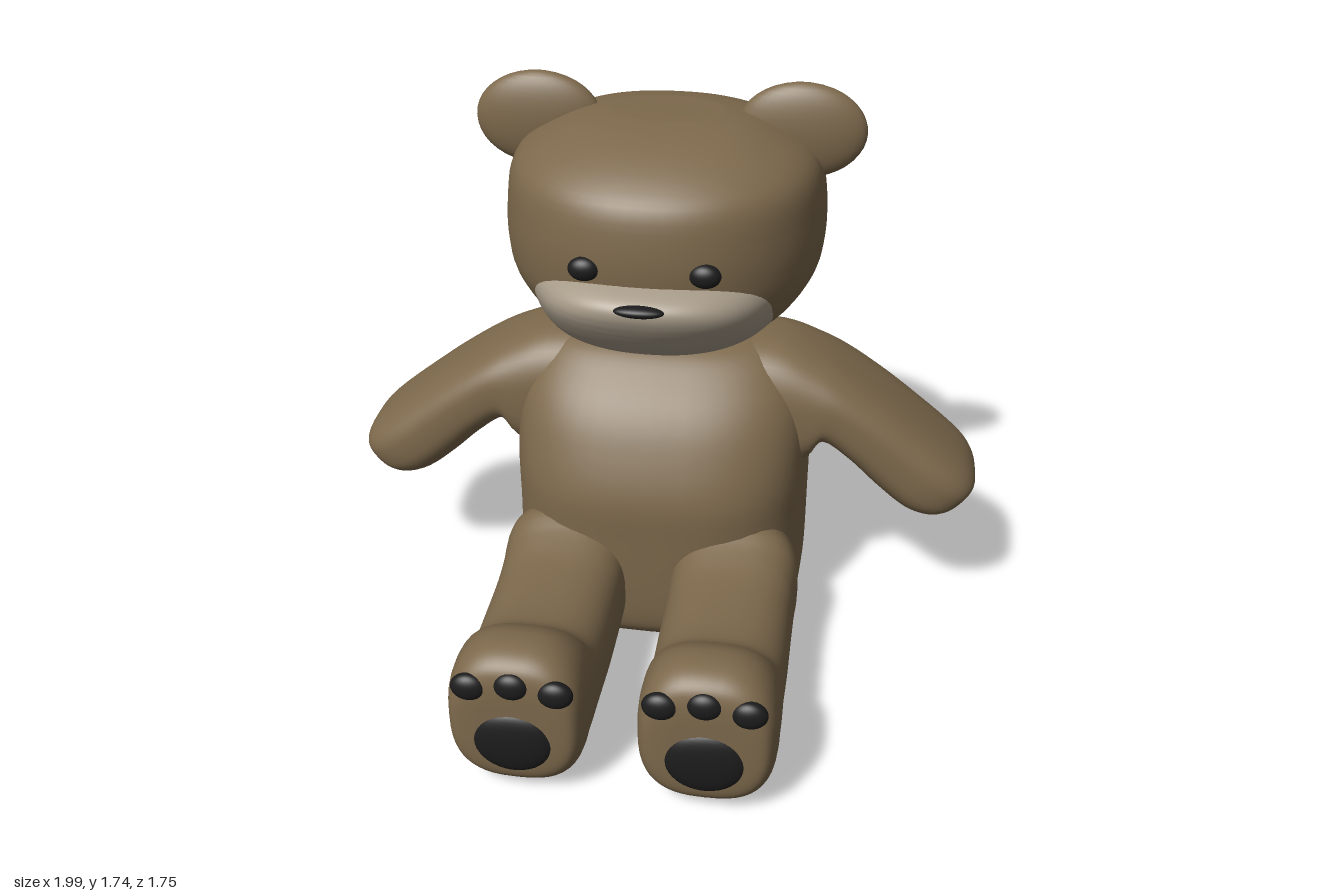
import * as THREE from 'three';

const fur = new THREE.MeshStandardMaterial({ color: 0x7d694c });
const cream = new THREE.MeshStandardMaterial({ color: 0xa79b89, side: THREE.DoubleSide });
const black = new THREE.MeshStandardMaterial({ color: 0x1c1c1c });

// Smoothly subdivide rows of numbers (Catmull-Rom)
function refine(rows, steps = 4) {
  const out = [];
  const at = (i) => rows[Math.min(rows.length - 1, Math.max(0, i))];
  for (let i = 0; i < rows.length - 1; i++) {
    for (let s = 0; s < steps; s++) {
      const t = s / steps;
      out.push(rows[i].map((b, k) => {
        const a = at(i - 1)[k], c = at(i + 1)[k], d = at(i + 2)[k];
        return b + 0.5 * t * (c - a + t * (2 * a - 5 * b + 4 * c - d + t * (3 * (b - c) + d - a)));
      }));
    }
  }
  out.push(at(rows.length - 1));
  return out;
}

const spow = (v, p) => Math.sign(v) * Math.abs(v) ** p;

function build(pos, idx) {
  const g = new THREE.BufferGeometry();
  g.setAttribute('position', new THREE.Float32BufferAttribute(pos, 3));
  g.setIndex(idx);
  g.computeVertexNormals();
  return g;
}

// Closed skin over superellipse sections; frame(row) gives centre c and half axes u, v
function loft(rows, frame, n, segs = 48) {
  const pos = [], idx = [];
  const frames = rows.map(frame);
  for (const { c, u, v } of frames) {
    for (let j = 0; j < segs; j++) {
      const a = (j / segs) * Math.PI * 2;
      const p = spow(Math.cos(a), 2 / n), q = spow(Math.sin(a), 2 / n);
      for (let k = 0; k < 3; k++) pos.push(c[k] + u[k] * p + v[k] * q);
    }
  }
  const last = rows.length - 1, first = pos.length / 3;
  pos.push(...frames[0].c, ...frames[last].c);
  for (let j = 0; j < segs; j++) {
    const k = (j + 1) % segs;
    for (let i = 0; i < last; i++) {
      const a = i * segs + j, b = i * segs + k;
      idx.push(a, b, b + segs, a, b + segs, a + segs);
    }
    idx.push(first, k, j, first + 1, last * segs + j, last * segs + k);
  }
  return build(pos, idx);
}

// Upright section row: [y, z centre, half depth, half width]
const upright = ([y, z, d, w]) => ({ c: [0, y, z], u: [0, 0, d], v: [w, 0, 0] });

const HEAD_N = 2.2;
const headRows = refine([
  [0.953, -0.32, 0.10, 0.09], [0.97, -0.30, 0.20, 0.17], [1.0, -0.30, 0.29, 0.27],
  [1.05, -0.29, 0.36, 0.345], [1.1, -0.285, 0.415, 0.40], [1.2, -0.285, 0.475, 0.458],
  [1.3, -0.285, 0.495, 0.475], [1.4, -0.28, 0.49, 0.472], [1.5, -0.26, 0.45, 0.455],
  [1.56, -0.25, 0.385, 0.415], [1.61, -0.25, 0.30, 0.335], [1.645, -0.25, 0.20, 0.25],
  [1.66, -0.25, 0.11, 0.16],
]);

// Front surface of the head at (x, y)
function headZ(x, y) {
  const i = Math.max(1, headRows.findIndex((r) => r[0] >= y));
  const a = headRows[i - 1], b = headRows[i];
  const t = (y - a[0]) / (b[0] - a[0]);
  const [, z, d, w] = a.map((v, k) => v + (b[k] - v) * t);
  return z + d * Math.max(0, 1 - Math.abs(x / w) ** HEAD_N) ** (1 / HEAD_N);
}

// Rounded patch that swells out of the lower face
function muzzleGeometry(rings = 24, segs = 64) {
  const pos = [], idx = [];
  for (let i = 0; i <= rings; i++) {
    const r = Math.sin((i / rings) * Math.PI / 2);
    for (let j = 0; j < segs; j++) {
      const a = (j / segs) * Math.PI * 2;
      const x = 0.347 * r * spow(Math.cos(a), 2 / 2.9);
      const y = 1.15 + 0.15 * r * spow(Math.sin(a), 2 / 2.9);
      const swell = 0.07 + 0.15 * (y - 1.1);
      pos.push(x, y, headZ(x, y) + swell * (1 - r ** 6) - 0.002);
      if (i < rings) {
        const p = i * segs + j, q = i * segs + (j + 1) % segs;
        if (i > 0) idx.push(p, q + segs, q);
        idx.push(p, p + segs, q + segs);
      }
    }
  }
  return build(pos, idx);
}

export function createModel() {
  const model = new THREE.Group();
  const add = (name, geometry, material) => {
    const m = new THREE.Mesh(geometry, material);
    m.name = name;
    model.add(m);
    return m;
  };
  const ball = (name, material, p, r) => {
    const m = add(name, new THREE.SphereGeometry(1, 32, 20), material);
    m.position.set(...p);
    m.scale.set(...r);
    return m;
  };

  // Torso
  add('torso', loft(refine([
    [0.005, -0.20, 0.20, 0.30], [0.015, -0.22, 0.30, 0.40], [0.05, -0.24, 0.36, 0.44],
    [0.1, -0.25, 0.39, 0.458], [0.2, -0.262, 0.413, 0.465], [0.4, -0.27, 0.428, 0.465],
    [0.55, -0.262, 0.418, 0.465], [0.7, -0.26, 0.36, 0.46], [0.8, -0.265, 0.305, 0.44],
    [0.88, -0.27, 0.235, 0.40], [0.93, -0.275, 0.18, 0.35], [0.955, -0.275, 0.12, 0.28],
  ]), upright, 2.8), fur);

  // Head and face
  add('head', loft(headRows, upright, HEAD_N, 64), fur);
  add('muzzle', muzzleGeometry(), cream);
  ball('nose', black, [0, 1.263, 0.285], [0.07, 0.016, 0.025]);

  // Arm rows: [upper x, upper y, lower x, lower y, half depth]
  const arm = loft(refine([
    [0, 0.957, 0, 0.55, 0.20], [0.2, 0.957, 0.15, 0.5, 0.205], [0.36, 0.953, 0.36, 0.5, 0.21],
    [0.48, 0.91, 0.46, 0.56, 0.21], [0.58, 0.855, 0.5, 0.63, 0.207],
    [0.70, 0.775, 0.585, 0.575, 0.207], [0.80, 0.70, 0.675, 0.49, 0.207],
    [0.90, 0.62, 0.76, 0.42, 0.205], [0.96, 0.565, 0.83, 0.392, 0.19],
    [0.99, 0.52, 0.885, 0.395, 0.16], [0.997, 0.49, 0.925, 0.408, 0.11],
  ]), ([x1, y1, x2, y2, d]) => ({
    c: [(x1 + x2) / 2, (y1 + y2) / 2, -0.285],
    u: [0, 0, d],
    v: [(x2 - x1) / 2, (y2 - y1) / 2, 0],
  }), 2.8);

  // Leg rows: [z, bottom y, top y, half width]
  const leg = loft(refine([
    [-0.1, 0.02, 0.38, 0.17], [0.05, 0.015, 0.45, 0.198], [0.15, 0.015, 0.415, 0.196],
    [0.25, 0.015, 0.385, 0.195], [0.4, 0.017, 0.375, 0.195], [0.52, 0.02, 0.38, 0.193],
    [0.58, 0.02, 0.40, 0.193], [0.63, 0.02, 0.44, 0.195], [0.69, 0.02, 0.472, 0.195],
    [0.75, 0.02, 0.48, 0.195], [0.80, 0.035, 0.47, 0.19], [0.835, 0.065, 0.445, 0.175],
    [0.85, 0.1, 0.41, 0.15], [0.855, 0.16, 0.36, 0.1],
  ]), ([z, y0, y1, w]) => ({
    c: [0, (y0 + y1) / 2, z], u: [w, 0, 0], v: [0, (y1 - y0) / 2, 0],
  }), 2.7);

  // Paired parts
  for (const [side, s] of [['left', 1], ['right', -1]]) {
    add(side + 'Arm', arm, fur).scale.x = s;
    add(side + 'Leg', leg, fur).position.x = s * 0.265;
    ball(side + 'Ear', fur, [s * 0.388, 1.598, -0.29], [0.19, 0.143, 0.055]);
    ball(side + 'Eye', black, [s * 0.168, 1.337, headZ(0.168, 1.337)], [0.045, 0.035, 0.028]);
    ball(side + 'SolePad', black, [s * 0.265, 0.203, 0.846], [0.112, 0.1, 0.03]);
    for (const [i, dx] of [-0.12, 0, 0.12].entries()) {
      ball(side + 'ToePad' + (i + 1), black,
        [s * 0.262 + dx, dx ? 0.38 : 0.395, 0.84], [0.05, 0.042, 0.028]);
    }
  }

  // Tail
  ball('tail', fur, [0, 0.13, -0.755], [0.122, 0.1, 0.118]);
  return model;
}
